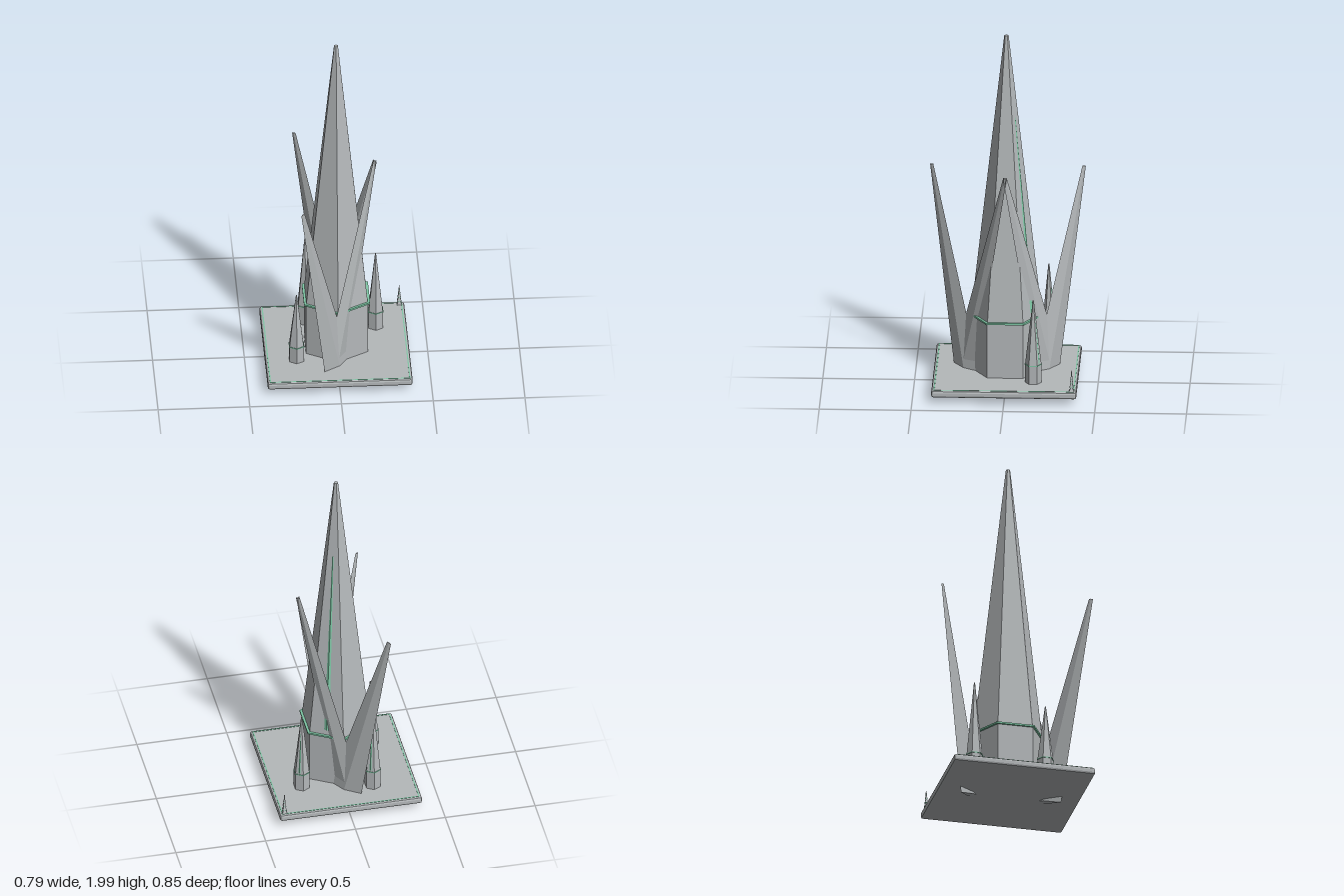
import * as THREE from 'three';
import { RoundedBoxGeometry } from 'three/addons/geometries/RoundedBoxGeometry.js';

const grey = new THREE.MeshStandardMaterial({ color: 0xb4b8ba });
grey.name = 'pale stone grey';
const green = new THREE.MeshStandardMaterial({ color: 0x7fc8a6 });
green.name = 'soft green trim';

const V = (x, y, z) => new THREE.Vector3(x, y, z);

// Mesh with hard facets
function facet(name, geometry, material) {
  const g = geometry.index ? geometry.toNonIndexed() : geometry;
  g.computeVertexNormals();
  const mesh = new THREE.Mesh(g, material);
  mesh.name = name;
  return mesh;
}

// Upright tapered prism standing between two heights
function prism(name, rBottom, rTop, y0, y1, sides, material) {
  const mesh = facet(name, new THREE.CylinderGeometry(rTop, rBottom, y1 - y0, sides), material);
  mesh.position.y = (y0 + y1) / 2;
  return mesh;
}

// Flat diamond-section spike from a to b; "normal" is its thin direction
function blade(name, a, b, rA, rB, thin, normal, material) {
  const axis = b.clone().sub(a);
  const g = new THREE.CylinderGeometry(rB, rA, axis.length(), 4).scale(1, 1, thin);
  const mesh = facet(name, g, material);
  const y = axis.normalize();
  const x = y.clone().cross(normal).normalize();
  const z = x.clone().cross(y);
  mesh.quaternion.setFromRotationMatrix(new THREE.Matrix4().makeBasis(x, y, z));
  mesh.position.copy(a).add(b).multiplyScalar(0.5);
  return mesh;
}

// Hexagonal tower: drum, green collar, spire and a strip on its rear left face
function tower(name, r, collarY, tipY, rTip, collarHeight, strip) {
  const group = new THREE.Group();
  group.name = name;
  group.add(
    prism('drum', r * 0.98, r * 0.98, 0.075, collarY - collarHeight, 6, grey),
    prism('collar', r * 1.04, r * 1.04, collarY - collarHeight, collarY, 6, green),
    prism('spire', r * 0.965, rTip, collarY, tipY, 6, grey),
  );
  const out = V(0.5, 0, -Math.sqrt(0.75));
  const onFace = (t) => {
    const radius = THREE.MathUtils.lerp(r * 0.965, rTip, t) * Math.sqrt(0.75);
    return out.clone().multiplyScalar(radius).setY(THREE.MathUtils.lerp(collarY, tipY, t));
  };
  group.add(blade('faceStrip', onFace(0.02), onFace(0.71), strip, strip * 0.25, 0.5, out, green));
  return group;
}

export function createModel() {
  const model = new THREE.Group();
  model.name = 'spireMonument';

  // Bevelled platform with a green inlay around its top
  const platform = facet('platform', new RoundedBoxGeometry(0.79, 0.04, 0.79, 1, 0.012), grey);
  platform.position.y = 0.06;
  model.add(platform);
  for (let i = 0; i < 4; i++) {
    const line = facet('platformInlay', new THREE.BoxGeometry(0.766, 0.004, 0.006), green);
    const a = (i * Math.PI) / 2;
    line.rotation.y = a;
    line.position.set(Math.sin(a) * 0.38, 0.08, Math.cos(a) * 0.38);
    model.add(line);
  }

  // Main tower and three small towers
  model.add(tower('mainTower', 0.2, 0.4, 2, 0.012, 0.01, 0.015));
  for (const [x, z, collarY, tipY] of [
    [0.225, -0.155, 0.187, 0.55],
    [-0.225, 0.155, 0.177, 0.495],
    [-0.155, -0.225, 0.197, 0.63],
  ]) {
    const small = tower('smallTower', 0.046, collarY, tipY, 0.003, 0.005, 0.006);
    small.position.set(x, 0, z);
    model.add(small);
  }

  // Leaning buttress blades, mirrored front and back
  for (const s of [1, -1]) {
    const normal = V(1, 0, s);
    model.add(
      blade('outerBlade', V(0, 0.03, s * 0.21), V(-0.205, 1.18, s * 0.415), 0.102, 0.013, 0.22, normal, grey),
      blade('innerBlade', V(-0.015, 0.105, s * 0.225), V(0.212, 1.247, 0), 0.086, 0.013, 0.22, normal, grey),
    );
  }

  // Tiered corner finial
  const finial = new THREE.Group();
  finial.name = 'cornerFinial';
  const tiers = 5;
  for (let i = 0; i < tiers; i++) {
    const r = 0.018 * (1 - i / tiers) + 0.001;
    const y = 0.078 + i * 0.024;
    const tier = prism('tier', r, r * 0.4, y + 0.003, y + 0.026, 4, grey);
    const rim = prism('tierRim', r, r, y, y + 0.003, 4, green);
    tier.rotation.y = rim.rotation.y = Math.PI / 4;
    finial.add(tier, rim);
  }
  finial.position.set(0.367, 0, -0.369);
  model.add(finial);

  return model;
}
